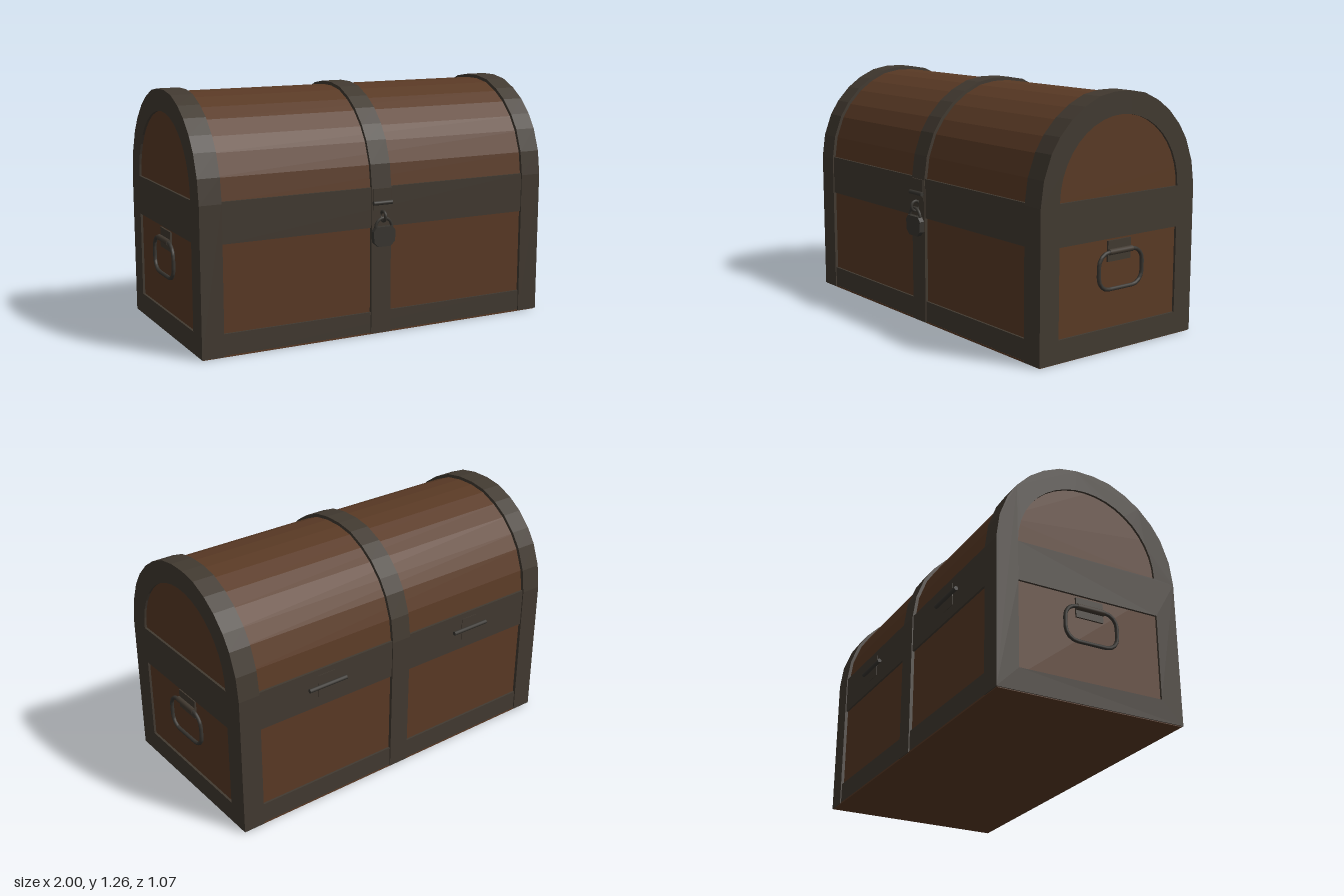
import * as THREE from 'three';

const wood = new THREE.MeshStandardMaterial({ color: 0x5a3a25 });
wood.name = 'brown wood';
const iron = new THREE.MeshStandardMaterial({ color: 0x423a31 });
iron.name = 'dark iron';
const steel = new THREE.MeshStandardMaterial({ color: 0x393631 });
steel.name = 'blackened steel';

const SPRING = 0.757; // height where the barrel lid starts to curve
const BASE = 0.004;

// Half of the lid arc, measured from its centre
const ARC = [[0.5, 0], [0.482, 0.125], [0.438, 0.241], [0.388, 0.317],
  [0.315, 0.392], [0.238, 0.445], [0.145, 0.487], [0.05, 0.503]];

// Arched outline: straight sides from y = bottom, then the lid arc
function archPoints(scale, bottom, spring = SPRING) {
  const right = ARC.map(([u, v]) => new THREE.Vector2(u * scale, spring + v * scale));
  const left = right.map((p) => new THREE.Vector2(-p.x, p.y)).reverse();
  const pts = [...right, ...left];
  if (bottom < spring) {
    pts.unshift(new THREE.Vector2(0.5 * scale, bottom));
    pts.push(new THREE.Vector2(-0.5 * scale, bottom));
  }
  return pts;
}

// Extrude a (z, y) outline along x between two positions
function extrudeX(shape, x0, x1) {
  const g = new THREE.ExtrudeGeometry(shape, { depth: x1 - x0, bevelEnabled: false });
  return g.rotateY(Math.PI / 2).translate(x0, 0, 0);
}

function add(parent, name, geometry, material, x = 0, y = 0, z = 0) {
  const m = new THREE.Mesh(geometry, material);
  m.name = name;
  m.position.set(x, y, z);
  parent.add(m);
  return m;
}

const box = (w, h, d) => new THREE.BoxGeometry(w, h, d);

function rodX(radius, length) {
  return new THREE.CylinderGeometry(radius, radius, length, 12).rotateZ(Math.PI / 2);
}

// Closed rounded-rectangle tube in the z-y plane
function roundedLoop(halfW, halfH, corner, radius) {
  const pts = [];
  for (let q = 0; q < 4; q++) {
    const sx = q === 0 || q === 3 ? 1 : -1;
    const sy = q < 2 ? 1 : -1;
    for (let i = 0; i <= 4; i++) {
      const a = (q + i / 4) * Math.PI / 2;
      pts.push(new THREE.Vector3(0,
        sy * (halfH - corner) + corner * Math.sin(a),
        sx * (halfW - corner) + corner * Math.cos(a)));
    }
  }
  const path = new THREE.CurvePath();
  pts.forEach((p, i) => path.add(new THREE.LineCurve3(p, pts[(i + 1) % pts.length])));
  return new THREE.TubeGeometry(path, 64, radius, 8, true);
}

// Swinging carry handle for one end; side is +1 or -1
function makeHandle(side) {
  const g = new THREE.Group();
  g.name = side > 0 ? 'leftHandle' : 'rightHandle';
  add(g, 'handlePlate', box(0.012, 0.103, 0.15), iron, side * 0.971, 0.497, 0);
  const sleeve = new THREE.CylinderGeometry(0.015, 0.015, 0.15, 12).rotateX(Math.PI / 2);
  add(g, 'handleSleeve', sleeve, iron, side * 0.984, 0.495, 0);
  add(g, 'handleLoop', roundedLoop(0.142, 0.091, 0.065, 0.01), steel, side * 0.987, 0.404, 0);
  return g;
}

// Hasp, staple and padlock at the front
function makeLock() {
  const g = new THREE.Group();
  g.name = 'lock';
  add(g, 'haspPlate', box(0.1, 0.11, 0.008), iron, 0, 0.705, 0.502);
  add(g, 'haspPin', rodX(0.011, 0.108), steel, 0, 0.688, 0.513);
  const staple = new THREE.TorusGeometry(0.025, 0.008, 8, 20).rotateY(Math.PI / 2);
  add(g, 'staple', staple, steel, 0, 0.62, 0.518);

  const outline = new THREE.Shape();
  outline.moveTo(-0.035, 0.466);
  outline.lineTo(0.035, 0.466);
  outline.lineTo(0.06, 0.49);
  outline.lineTo(0.063, 0.545);
  outline.lineTo(0.045, 0.568);
  outline.lineTo(-0.045, 0.568);
  outline.lineTo(-0.063, 0.545);
  outline.lineTo(-0.06, 0.49);
  const body = new THREE.ExtrudeGeometry(outline, { depth: 0.026, bevelEnabled: false });
  add(g, 'padlockBody', body, steel, 0, 0, 0.509);
  add(g, 'padlockShackle', new THREE.TorusGeometry(0.046, 0.008, 8, 20, Math.PI), steel, 0, 0.565, 0.522);
  return g;
}

export function createModel() {
  const root = new THREE.Group();
  root.name = 'treasureChest';
  const chest = new THREE.Group();
  chest.name = 'chest';
  chest.position.z = -0.015;
  root.add(chest);

  // Wooden body and floor
  add(chest, 'woodenBody', extrudeX(new THREE.Shape(archPoints(0.966, BASE)), -0.968, 0.968), wood);
  add(chest, 'floor', box(1.95, 0.008, 0.99), wood, 0, 0.004, 0);

  // End frames with a lower panel opening and an arched upper opening
  const frame = new THREE.Shape(archPoints(1, BASE));
  const lower = [[-0.385, 0.117], [0.385, 0.117], [0.385, 0.56], [-0.385, 0.56]];
  frame.holes.push(new THREE.Path(lower.map(([u, v]) => new THREE.Vector2(u, v))));
  const upper = new THREE.EllipseCurve(0, 0.766, 0.385, 0.385, 0, Math.PI).getPoints(20);
  frame.holes.push(new THREE.Path(upper));
  add(chest, 'leftEndFrame', extrudeX(frame, 0.865, 0.98), iron);
  add(chest, 'rightEndFrame', extrudeX(frame, -0.98, -0.865), iron);

  // Centre strap and horizontal bands
  add(chest, 'centreStrap', extrudeX(new THREE.Shape(archPoints(1, BASE)), -0.056, 0.056), iron);
  add(chest, 'middleBand', box(1.75, 0.206, 0.988), iron, 0, 0.663, 0);
  add(chest, 'bottomBand', box(1.75, 0.113, 0.988), iron, 0, 0.0605, 0);

  // End handles
  for (const side of [1, -1]) chest.add(makeHandle(side));

  // Back hinges
  for (const side of [1, -1]) {
    const hinge = new THREE.Group();
    hinge.name = side > 0 ? 'leftHinge' : 'rightHinge';
    add(hinge, 'hingePin', rodX(0.011, 0.225), steel, side * 0.47, 0.675, -0.507);
    add(hinge, 'hingePlate', box(0.1, 0.12, 0.006), iron, side * 0.47, 0.675, -0.494);
    chest.add(hinge);
  }

  chest.add(makeLock());
  return root;
}
